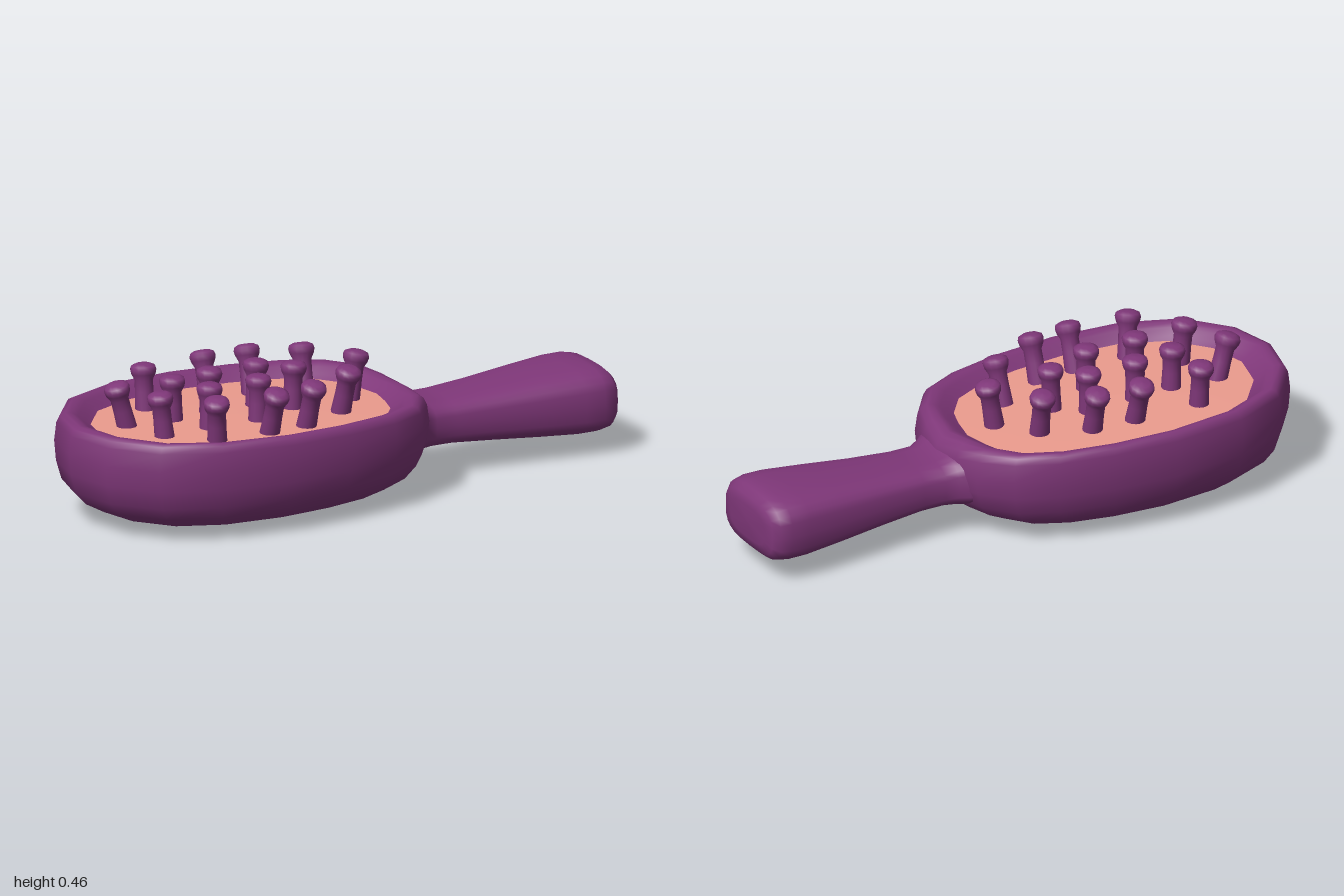
import * as THREE from 'three';

const purple = new THREE.MeshStandardMaterial({ color: 0x7f3779 });
const salmon = new THREE.MeshStandardMaterial({ color: 0xec9c8e });

// Skin equal-length rings of [x, y, z] points with smooth normals
function loft(rings) {
  const n = rings[0].length, index = [];
  for (let r = 0; r < rings.length - 1; r++) {
    for (let i = 0; i < n; i++) {
      const a = r * n + i, b = r * n + (i + 1) % n;
      index.push(a, a + n, b, b, a + n, b + n);
    }
  }
  const geo = new THREE.BufferGeometry();
  geo.setAttribute('position', new THREE.Float32BufferAttribute(rings.flat(2), 3));
  geo.setIndex(index);
  geo.computeVertexNormals();
  return geo;
}

function part(name, geo, material) {
  const mesh = new THREE.Mesh(geo, material);
  mesh.name = name;
  return mesh;
}

// Plan outline of the head, mirrored across z = 0
const CX = -0.37;
const half = [[0.3, 0], [0.278, 0.11], [0.248, 0.205], [0.165, 0.31], [0.03, 0.373], [-0.16, 0.413],
  [-0.39, 0.43], [-0.65, 0.402], [-0.84, 0.32], [-0.96, 0.17], [-1, 0]];
const outline = [...half, ...half.slice(1, -1).reverse().map(([x, z]) => [x, -z])];

// Outline scaled about the head centre; the rim drops toward the handle and rounds over into it
function headRing([s, y]) {
  return outline.map(([x, z]) => {
    const px = CX + (x - CX) * s;
    const drop = 0.017 * (px + 1) + 6 * Math.max(0, px - 0.2) ** 2;
    return [px, y - drop * Math.max(0, y - 0.1) / 0.25, z * s];
  });
}

function createHead() {
  const profile = [[0.001, 0], [0.32, 0.005], [0.6, 0.018], [0.79, 0.042], [0.9, 0.08], [0.96, 0.125],
    [0.99, 0.19], [1, 0.26], [0.988, 0.322], [0.97, 0.344], [0.94, 0.352], [0.905, 0.35],
    [0.87, 0.338], [0.83, 0.319], [0.785, 0.3]];
  return part('head', loft(profile.map(headRing)), purple);
}

function createPad() {
  const profile = [[0.8, 0.306], [0.6, 0.309], [0.3, 0.311], [0.001, 0.312]];
  return part('pad', loft(profile.map(headRing)), salmon);
}

// Handle: rounded-rectangle sections [x, half width, bottom, top]
function createHandle() {
  const sections = [[0.18, 0.2, 0.115, 0.27], [0.22, 0.19, 0.105, 0.285], [0.25, 0.172, 0.1, 0.287],
    [0.28, 0.148, 0.1, 0.272], [0.32, 0.133, 0.101, 0.256], [0.4, 0.132, 0.1, 0.256],
    [0.55, 0.145, 0.088, 0.266], [0.72, 0.167, 0.074, 0.281], [0.86, 0.183, 0.064, 0.292],
    [0.93, 0.184, 0.064, 0.292], [0.97, 0.176, 0.071, 0.284], [0.992, 0.155, 0.09, 0.265],
    [0.999, 0.11, 0.12, 0.235], [1, 0.001, 0.177, 0.179]];
  const sides = 24, e = 0.62;
  const soft = v => Math.sign(v) * Math.abs(v) ** e;
  const rings = sections.map(([x, w, lo, hi]) => Array.from({ length: sides }, (_, i) => {
    const t = i / sides * Math.PI * 2;
    return [x, (lo + hi) / 2 + (hi - lo) / 2 * soft(Math.sin(t)), w * soft(Math.cos(t))];
  }));
  return part('handle', loft(rings), purple);
}

// Bristles: [tip x, tip z, base x, base z]
const bristles = [
  [-0.6, -0.21, -0.6, -0.195], [-0.36, -0.24, -0.36, -0.19], [-0.2, -0.225, -0.205, -0.18],
  [-0.035, -0.15, -0.045, -0.11], [-0.79, -0.06, -0.745, -0.06], [-0.585, -0.045, -0.58, -0.045],
  [-0.435, -0.06, -0.435, -0.06], [-0.255, -0.065, -0.26, -0.06], [-0.16, 0.02, -0.165, 0.02],
  [0.083, 0.013, 0.055, 0.015], [-0.715, 0.1, -0.695, 0.1], [-0.52, 0.09, -0.52, 0.09],
  [-0.335, 0.09, -0.335, 0.09], [-0.585, 0.25, -0.565, 0.22], [-0.37, 0.278, -0.37, 0.225],
  [-0.22, 0.262, -0.225, 0.215], [-0.035, 0.17, -0.045, 0.13]];

function createBristles() {
  const group = new THREE.Group();
  group.name = 'bristles';
  // Slim shaft with a flared, domed tip
  const profile = [[0.034, 0], [0.031, 0.07], [0.031, 0.109], [0.041, 0.129], [0.044, 0.143],
    [0.04, 0.155], [0.025, 0.162], [0, 0.164]].map(p => new THREE.Vector2(...p));
  const geo = new THREE.LatheGeometry(profile, 14);
  const up = new THREE.Vector3(0, 1, 0);
  for (const [tx, tz, bx, bz] of bristles) {
    const bristle = part('bristle', geo, purple);
    const dir = new THREE.Vector3(tx - bx, 0.16, tz - bz);
    bristle.position.set(bx, 0.294, bz);
    bristle.scale.y = dir.length() / 0.16;
    bristle.quaternion.setFromUnitVectors(up, dir.normalize());
    group.add(bristle);
  }
  return group;
}

export function createModel() {
  const model = new THREE.Group();
  model.name = 'hairbrush';
  model.add(createHead(), createPad(), createHandle(), createBristles());
  return model;
}
